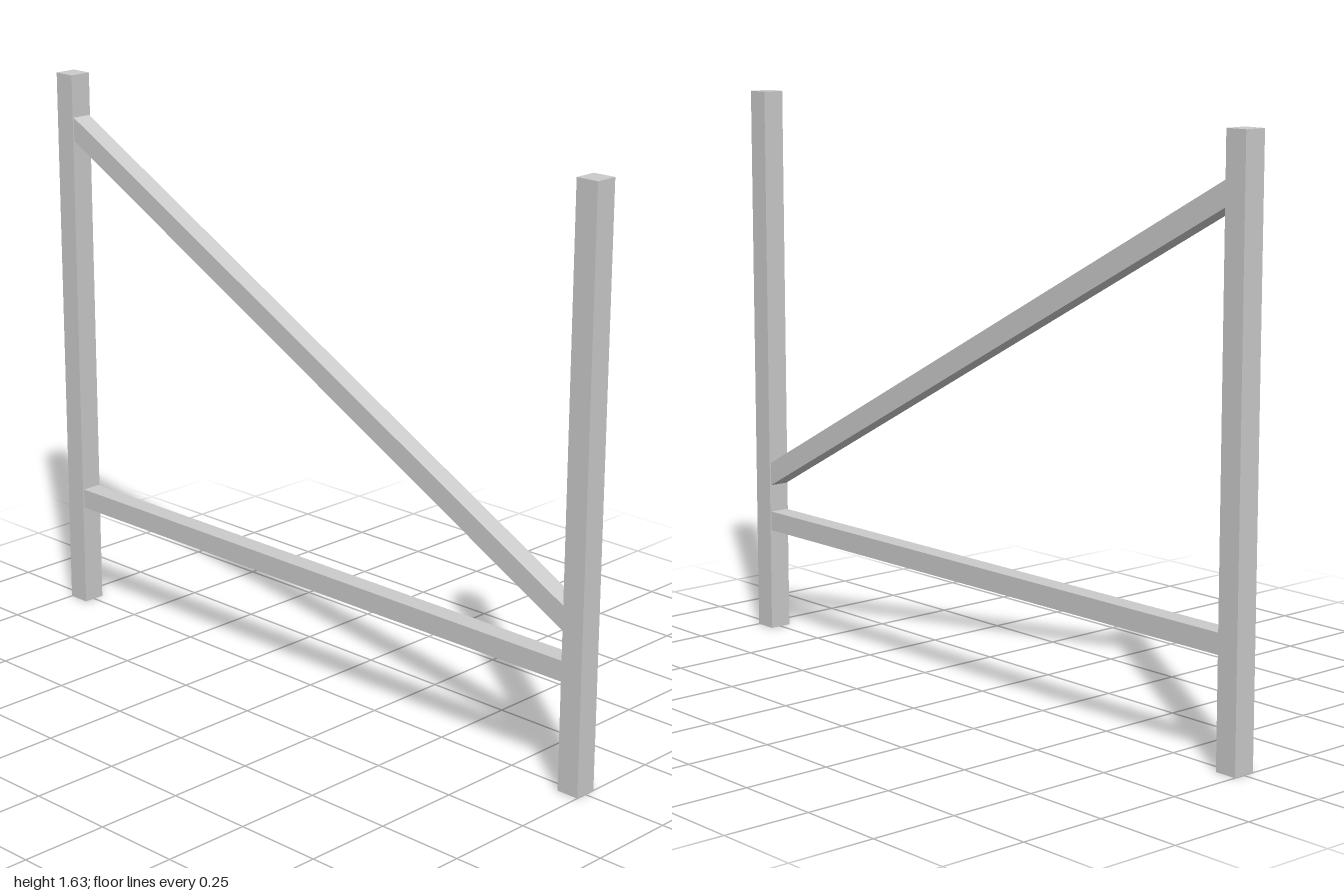
import * as THREE from 'three';

const POST = 0.066;      // square post section
const RAIL = 0.058;      // square rail section
const HEIGHT = 1.628;
const SPAN = 2 - 2 * POST; // clear distance between the posts

export function createModel() {
  const group = new THREE.Group();
  const material = new THREE.MeshStandardMaterial({ color: 0xcccccc, flatShading: true });

  const add = (name, geometry, y, z) => {
    const mesh = new THREE.Mesh(geometry, material);
    mesh.name = name;
    mesh.position.set(0, y, z);
    group.add(mesh);
  };

  // Upright posts
  for (const [name, side] of [['frontPost', 1], ['backPost', -1]]) {
    add(name, new THREE.BoxGeometry(POST, HEIGHT, POST), HEIGHT / 2, side * (1 - POST / 2));
  }

  // Level lower rail
  add('lowerRail', new THREE.BoxGeometry(RAIL, RAIL, SPAN), 0.334, 0);

  // Diagonal brace: a bar sheared upward to the back so its ends meet the posts flush
  const slope = 0.991 / SPAN;
  const brace = new THREE.BoxGeometry(RAIL, RAIL * Math.hypot(1, slope) + 0.003, SPAN);
  const p = brace.attributes.position;
  for (let i = 0; i < p.count; i++) p.setY(i, p.getY(i) - p.getZ(i) * slope);
  brace.computeVertexNormals();
  add('diagonalBrace', brace, 0.974, 0);

  return group;
}
